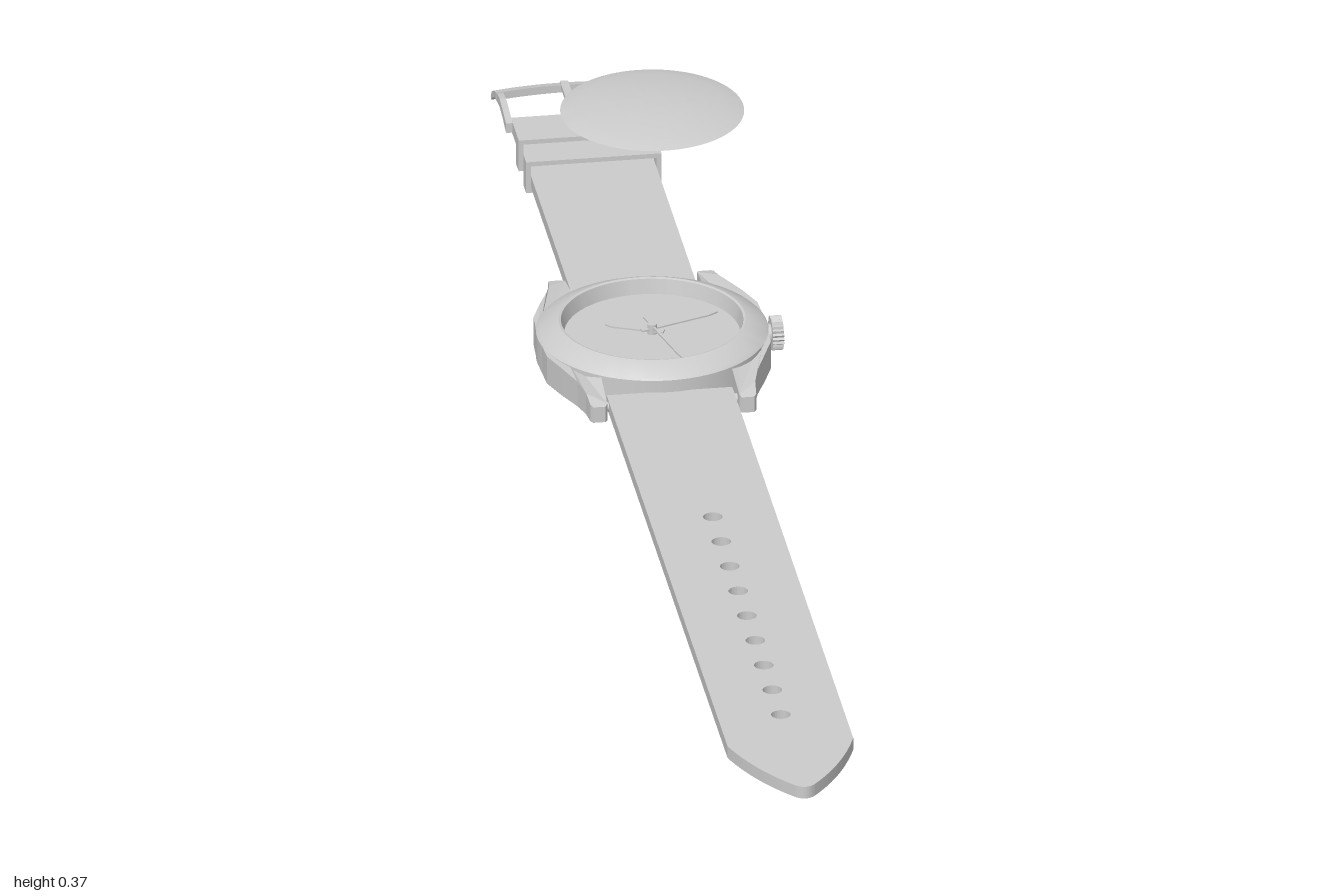
import * as THREE from 'three';
import { toCreasedNormals } from 'three/addons/utils/BufferGeometryUtils.js';

const CX = -0.01, CZ = -0.248; // strap axis and case centre
const V = (x, y) => new THREE.Vector2(x, y);
const grey = new THREE.MeshStandardMaterial({ color: 0xcccccc });

export function createModel() {
  const model = new THREE.Group();

  const add = (name, geo, x = CX, y = 0, z = 0, parent = model) => {
    const m = new THREE.Mesh(geo, grey);
    m.name = name;
    m.position.set(x, y, z);
    parent.add(m);
    return m;
  };
  const lathe = (pts) => toCreasedNormals(new THREE.LatheGeometry(pts.map((p) => V(...p)), 72), 0.4);
  // outline in x/z, filled from y0 to y1
  const plan = (shape, y0, y1) =>
    new THREE.ExtrudeGeometry(shape, { depth: y1 - y0, bevelEnabled: false, curveSegments: 12 })
      .rotateX(Math.PI / 2).translate(0, y1, 0);
  // outline in z/y, extruded symmetrically along x
  const profile = (pts, width, steps = 1) =>
    new THREE.ExtrudeGeometry(new THREE.Shape(pts.map((p) => V(...p))), { depth: width, steps, bevelEnabled: false })
      .translate(0, 0, -width / 2).rotateY(-Math.PI / 2);

  // case with stepped back, chamfered bezel and sunken dial
  add('case', lathe([
    [0, 0.003], [0.1, 0.003], [0.1, 0], [0.107, 0], [0.107, 0.006], [0.122, 0.006], [0.122, 0.01],
    [0.133, 0.01], [0.133, 0.014], [0.14, 0.015], [0.143, 0.018], [0.143, 0.052], [0.139, 0.056],
    [0.118, 0.066], [0.115, 0.067], [0.112, 0.066], [0.108, 0.047], [0, 0.047],
  ]), CX, 0, CZ);

  // four lugs, tapering in height towards their tips
  const lugOutline = [[0.12, 0], [0.142, 0], [0.139, 0.055], [0.126, 0.09], [0.112, 0.125], [0.105, 0.15],
    [0.103, 0.172], [0.1, 0.177], [0.085, 0.177], [0.082, 0.172], [0.081, 0.105], [0.095, 0.075], [0.119, 0.02]];
  for (const sx of [1, -1]) for (const sz of [1, -1]) {
    const pts = lugOutline.map(([x, z]) => V(x * sx, z * sz));
    const g = plan(new THREE.Shape(pts), 0.015, 0.052);
    const p = g.attributes.position;
    for (let i = 0; i < p.count; i++) {
      const t = Math.max(0, (Math.abs(p.getZ(i)) - 0.09) / 0.087);
      p.setY(i, p.getY(i) > 0.03 ? 0.052 - 0.013 * t * t : 0.015 + 0.003 * t);
    }
    g.computeVertexNormals();
    add('lug', g, CX, 0, CZ);
  }

  // spring bars between the lugs
  for (const s of [1, -1]) {
    add('springBar', new THREE.CylinderGeometry(0.006, 0.006, 0.17, 12).rotateZ(Math.PI / 2), CX, 0.028, CZ + s * 0.155);
  }

  // crown with a ribbed rim
  const crown = new THREE.Shape();
  for (let i = 0; i < 48; i++) {
    const r = i % 2 ? 0.0195 : 0.0215, a = (i / 48) * Math.PI * 2;
    crown[i ? 'lineTo' : 'moveTo'](r * Math.cos(a), r * Math.sin(a));
  }
  add('crown', new THREE.ExtrudeGeometry(crown, { depth: 0.014, bevelEnabled: false }).rotateY(Math.PI / 2), 0.137, 0.036, CZ);
  add('crownStem', new THREE.CylinderGeometry(0.012, 0.012, 0.02, 24).rotateZ(Math.PI / 2), 0.132, 0.036, CZ);

  // hands: [name, angle from twelve, length, tail, width, height]
  const hands = new THREE.Group();
  hands.name = 'hands';
  hands.position.set(CX, 0, CZ);
  model.add(hands);
  for (const [name, deg, len, tail, w, y] of [
    ['hourHand', -67, 0.06, 0.015, 0.009, 0.05],
    ['minuteHand', 70, 0.092, 0.015, 0.007, 0.053],
    ['secondHand', 166, 0.1, 0.025, 0.003, 0.056],
  ]) {
    const s = new THREE.Shape([V(-w / 2, tail), V(w / 2, tail), V(w / 2, -len * 0.85), V(0, -len), V(-w / 2, -len * 0.85)]);
    add(name, plan(s, 0, 0.002), 0, y, 0, hands).rotation.y = -deg * Math.PI / 180;
  }
  add('handPin', new THREE.CylinderGeometry(0.006, 0.006, 0.014, 20), 0, 0.053, 0, hands);

  // domed glass floating above the case
  const dome = [[0, 0], [0.113, 0]];
  for (let i = 1; i <= 10; i++) {
    const r = 0.113 * (1 - i / 10);
    dome.push([r, 0.001 + 0.0125 * (1 - (r / 0.113) ** 2)]);
  }
  add('glass', lathe(dome), CX, 0.352, CZ);

  // long strap with pointed tip and punched holes
  const W = 0.078;
  const long = new THREE.Shape();
  long.moveTo(-W, -0.108);
  long.lineTo(W, -0.108);
  long.lineTo(W, 0.875);
  long.quadraticCurveTo(0.055, 0.945, 0.012, 0.994);
  long.quadraticCurveTo(0, 1.006, -0.012, 0.994);
  long.quadraticCurveTo(-0.055, 0.945, -W, 0.875);
  for (let i = 0; i < 9; i++) {
    long.holes.push(new THREE.Path().absarc(0, 0.244 + i * 0.0692, 0.012, 0, Math.PI * 2, true));
  }
  add('longStrap', plan(long, 0.02, 0.036));

  // short strap with its two keeper loops
  add('shortStrap', new THREE.BoxGeometry(2 * W, 0.016, 0.495), CX, 0.028, -0.6375);
  const rect = (C, w, y0, y1) => new C([V(-w, y0), V(w, y0), V(w, y1), V(-w, y1)]);
  for (const z of [-0.732, -0.793]) {
    const loop = rect(THREE.Shape, 0.084, 0.013, 0.055);
    loop.holes.push(rect(THREE.Path, 0.078, 0.018, 0.049));
    add('keeperLoop', new THREE.ExtrudeGeometry(loop, { depth: 0.02, bevelEnabled: false }), CX, 0, z - 0.01);
  }

  // buckle: arched side arms, bowed end bar, spindle and tongue
  const buckle = new THREE.Group();
  buckle.name = 'buckle';
  model.add(buckle);
  for (const s of [1, -1]) {
    add('buckleArm', profile([[-0.872, 0.022], [-0.872, 0.035], [-0.9, 0.04], [-0.925, 0.043], [-0.955, 0.039],
      [-0.955, 0.028], [-0.925, 0.032], [-0.9, 0.029]], 0.008), CX + s * 0.082, 0, 0, buckle);
  }
  const bar = profile([[-0.945, 0.031], [-0.945, 0.041], [-0.96, 0.037], [-0.98, 0.027], [-0.99, 0.016],
    [-0.986, 0.012], [-0.972, 0.022], [-0.96, 0.028]], 0.174, 12);
  const p = bar.attributes.position;
  for (let i = 0; i < p.count; i++) {
    const bow = 1 - (p.getX(i) / 0.087) ** 2;
    p.setZ(i, p.getZ(i) - 0.01 * bow);
  }
  bar.computeVertexNormals();
  add('buckleBar', bar, CX, 0, 0, buckle);
  add('buckleSpindle', new THREE.CylinderGeometry(0.007, 0.007, 0.164, 12).rotateZ(Math.PI / 2), CX, 0.028, -0.88, buckle);
  add('buckleTongue', profile([[-0.875, 0.03], [-0.875, 0.037], [-0.92, 0.042], [-0.965, 0.042], [-0.965, 0.036],
    [-0.92, 0.036]], 0.01), CX, 0, 0, buckle);

  return model;
}
